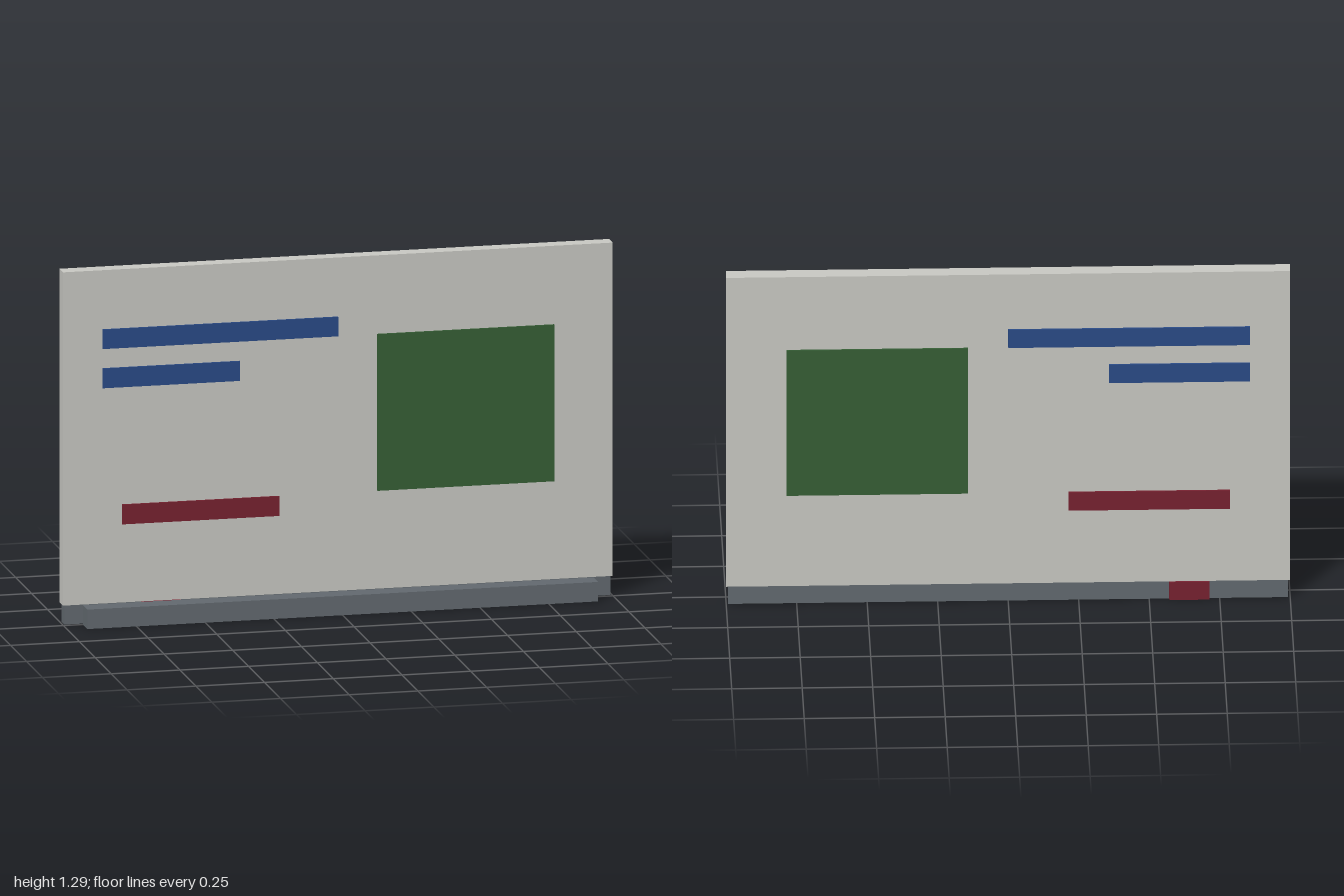
import * as THREE from 'three';

const material = (name, color) => {
  const m = new THREE.MeshStandardMaterial({ color });
  m.name = name;
  return m;
};

export function createModel() {
  const group = new THREE.Group();
  group.name = 'noticeBoard';
  const cream = material('warm light grey', 0xcacac4);
  const grey = material('slate grey', 0x636a70);
  const blue = material('blue', 0x2a4b88);
  const green = material('green', 0x365f35);
  const red = material('dark red', 0x782130);

  // Box given by its extents on each axis
  const block = (name, mat, [x0, x1], [y0, y1], [z0, z1]) => {
    const mesh = new THREE.Mesh(new THREE.BoxGeometry(x1 - x0, y1 - y0, z1 - z0), mat);
    mesh.position.set((x0 + x1) / 2, (y0 + y1) / 2, (z0 + z1) / 2);
    mesh.name = name;
    group.add(mesh);
  };

  // Panel, the rail under it and the tray in front
  block('panel', cream, [-1, 1], [0.071, 1.286], [-0.064, -0.007]);
  block('bottomRail', grey, [-0.993, 0.993], [0, 0.071], [-0.057, -0.014]);
  block('tray', grey, [-0.929, 0.929], [0, 0.071], [0, 0.071]);

  // Clip joining rail and tray, just clear of the rail's underside
  block('clip', red, [-0.714, -0.571], [0.0005, 0.0705], [-0.071, 0]);

  // Markings, as thin plates on both faces of the panel
  const markings = [
    ['upperStripe', blue, [-0.857, 0], [1, 1.071]],
    ['lowerStripe', blue, [-0.857, -0.357], [0.857, 0.929]],
    ['redStripe', red, [-0.786, -0.214], [0.357, 0.429]],
    ['greenSquare', green, [0.143, 0.786], [0.429, 1]],
  ];
  for (const [name, mat, x, y] of markings) {
    block(name + 'Front', mat, x, y, [-0.007, 0]);
    block(name + 'Back', mat, x, y, [-0.071, -0.064]);
  }
  return group;
}
